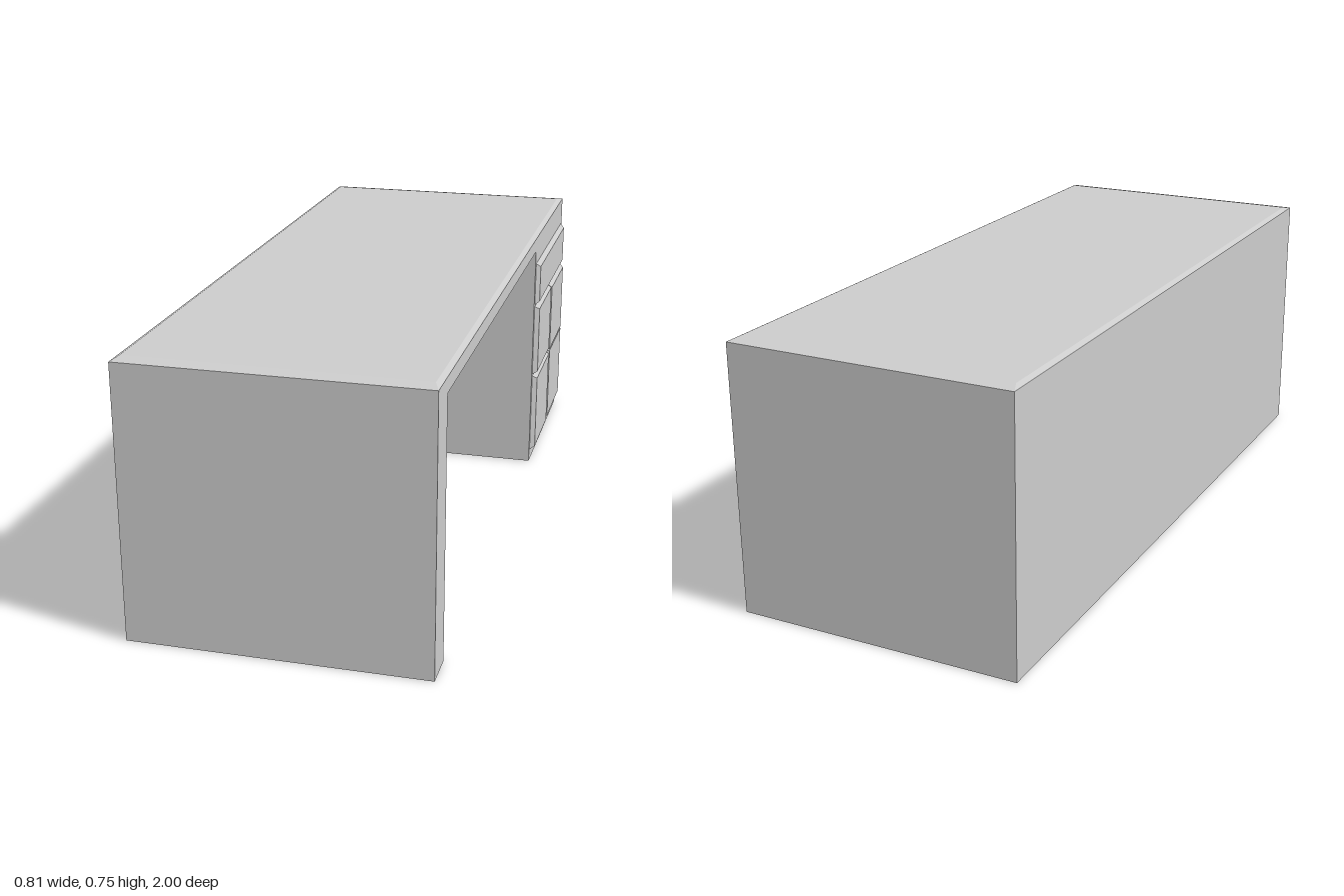
import * as THREE from 'three';

const material = new THREE.MeshStandardMaterial({ color: 0xcccccc });

function addMesh(parent, name, geometry) {
  const mesh = new THREE.Mesh(geometry, material);
  mesh.name = name;
  parent.add(mesh);
  return mesh;
}

// Box between two corners
function boxBetween([x0, y0, z0], [x1, y1, z1]) {
  return new THREE.BoxGeometry(x1 - x0, y1 - y0, z1 - z0)
    .translate((x0 + x1) / 2, (y0 + y1) / 2, (z0 + z1) / 2);
}

// Box whose vertices are moved by a rule, with flat normals afterwards
function reshape(geometry, rule) {
  const p = geometry.attributes.position;
  const v = new THREE.Vector3();
  for (let i = 0; i < p.count; i++) {
    rule(v.fromBufferAttribute(p, i));
    p.setXYZ(i, v.x, v.y, v.z);
  }
  geometry.computeVertexNormals();
  return geometry;
}

// Drawer front: a panel on the +x face with sloping edges
function drawerFront({ y, z, depth, bevel }) {
  const face = 0.39;
  const ym = (y[0] + y[1]) / 2, zm = (z[0] + z[1]) / 2;
  const [bottom, top, back, front] = bevel;
  return reshape(boxBetween([face - 0.005, y[0], z[0]], [face + depth, y[1], z[1]]), (v) => {
    if (v.x < face) return;
    v.y += v.y < ym ? bottom : -top;
    v.z += v.z < zm ? back : -front;
  });
}

export function createModel() {
  const desk = new THREE.Group();
  desk.name = 'desk';

  // Leg, back panel and drawer pedestal share one U-shaped plan
  const plan = new THREE.Shape([
    [-0.41, -1], [0.39, -1], [0.39, -0.9], [-0.317, -0.9],
    [-0.317, 0.42], [0.39, 0.42], [0.39, 1], [-0.41, 1],
  ].map(([x, y]) => new THREE.Vector2(x, y)));
  const carcass = new THREE.ExtrudeGeometry(plan, { depth: 0.705, bevelEnabled: false });
  addMesh(desk, 'carcass', carcass.rotateX(-Math.PI / 2));

  // Worktop slab with a shallow bevelled surface
  addMesh(desk, 'worktop', boxBetween([-0.41, 0.705, -1], [0.39, 0.746, 1]));
  addMesh(desk, 'worktopBevel', reshape(boxBetween([-0.41, 0.746, -1], [0.39, 0.753, 1]), (v) => {
    if (v.y < 0.75) return;
    v.x += v.x < 0 ? 0.014 : -0.014;
    v.z += v.z < 0 ? 0.035 : -0.035;
  }));

  // Drawer fronts; bevel widths run bottom, top, back, front
  const drawers = new THREE.Group();
  drawers.name = 'drawers';
  desk.add(drawers);
  const fronts = {
    topDrawer: { y: [0.525, 0.667], z: [-0.985, -0.43], depth: 0.013, bevel: [0.012, 0.016, 0.016, 0.016] },
    upperLeftDrawer: { y: [0.293, 0.525], z: [-0.705, -0.43], depth: 0.015, bevel: [0.011, 0.011, 0.012, 0.012] },
    lowerLeftDrawer: { y: [0.033, 0.293], z: [-0.705, -0.43], depth: 0.015, bevel: [0.012, 0.012, 0.012, 0.012] },
    upperRightDrawer: { y: [0.29, 0.525], z: [-0.99, -0.707], depth: 0.015, bevel: [0.003, 0.016, 0.016, 0.006] },
    lowerRightDrawer: { y: [0.035, 0.29], z: [-0.99, -0.707], depth: 0.015, bevel: [0.016, 0.003, 0.016, 0.006] },
  };
  for (const [name, spec] of Object.entries(fronts)) addMesh(drawers, name, drawerFront(spec));

  return desk;
}
